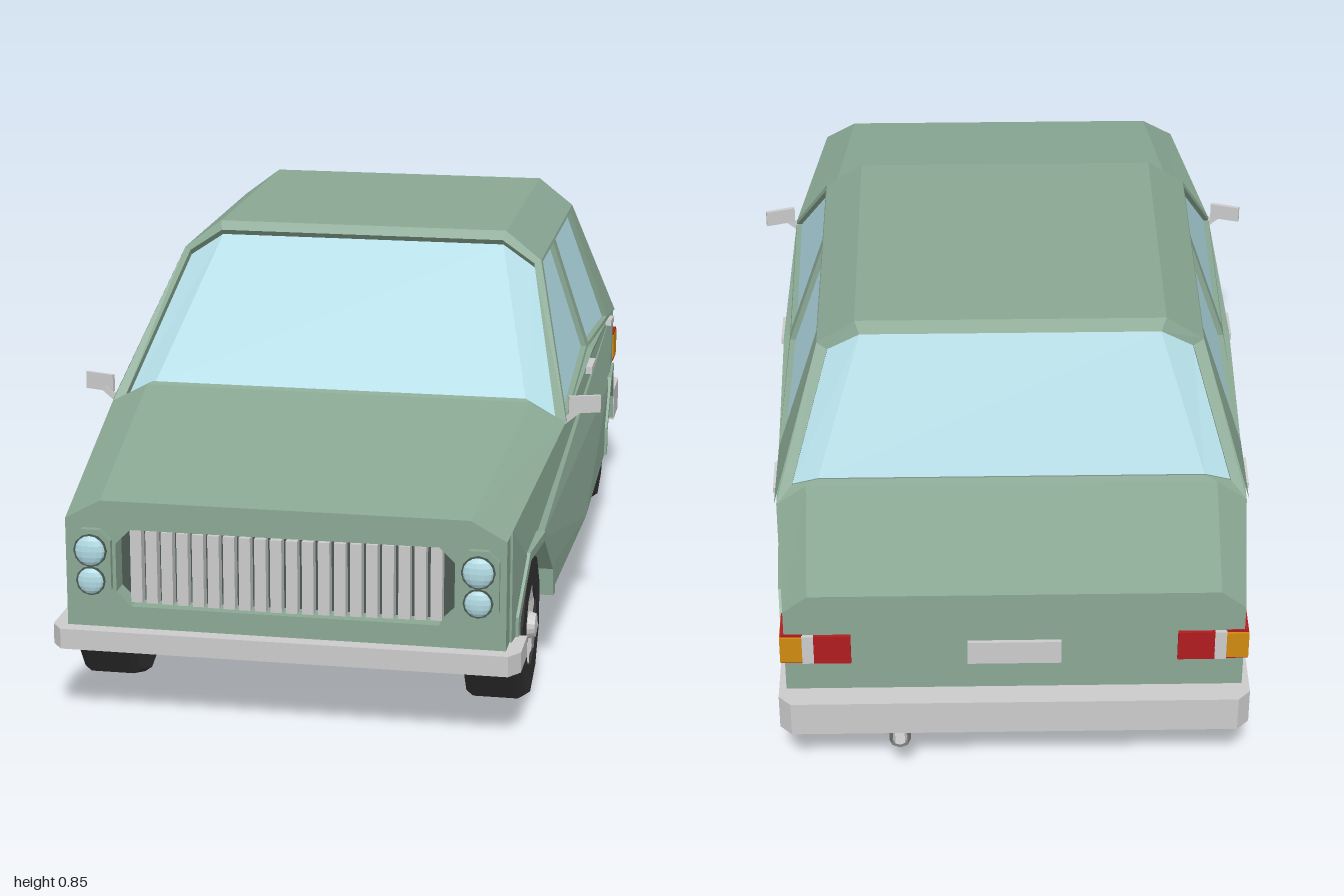
import * as THREE from 'three';

const mat = (color, side = THREE.FrontSide) =>
  new THREE.MeshStandardMaterial({ color, side, flatShading: true });
const paint = mat(0x8aa894, THREE.DoubleSide), glass = mat(0xb2dbe4, THREE.DoubleSide);
const grey = mat(0xcccccc), rubber = mat(0x333333), dark = mat(0x4a5850);
const red = mat(0xb01c20), amber = mat(0xd08a10), white = mat(0xe8e8e8);

export function createModel() {
  const car = new THREE.Group();
  car.name = 'car';

  const add = (name, geo, material, x = 0, y = 0, z = 0) => {
    const m = new THREE.Mesh(geo, material);
    m.name = name;
    m.position.set(x, y, z);
    car.add(m);
    return m;
  };
  const box = (name, m, w, h, d, x, y, z) => add(name, new THREE.BoxGeometry(w, h, d), m, x, y, z);
  const shapeOf = pts => new THREE.Shape(pts.map(p => new THREE.Vector2(p[0], p[1])));
  const extrude = (shape, depth) => new THREE.ExtrudeGeometry(shape, { depth, bevelEnabled: false });
  // rectangle with cut corners
  const chamfered = (w, h, c) => [[-w + c, -h], [w - c, -h], [w, -h + c], [w, h - c],
    [w - c, h], [-w + c, h], [-w, h - c], [-w, -h + c]];

  // surface through rows of points
  const loft = (name, rows, material, closed = false) => {
    const v = [];
    for (let i = 0; i < rows.length - 1; i++) {
      const a = rows[i], b = rows[i + 1], n = a.length;
      for (let j = 0; j < (closed ? n : n - 1); j++) {
        const k = (j + 1) % n;
        v.push(...a[j], ...a[k], ...b[k], ...a[j], ...b[k], ...b[j]);
      }
    }
    const g = new THREE.BufferGeometry();
    g.setAttribute('position', new THREE.Float32BufferAttribute(v, 3));
    g.computeVertexNormals();
    return add(name, g, material);
  };

  // frame around a sunken pane; the outline runs along the bottom, then back along the top
  const windowPanel = (name, outer, inner, sink) => {
    const pane = inner.map(p => p.map((c, i) => c + sink[i]));
    loft(name + 'Frame', [outer, inner, pane], paint, true);
    const n = pane.length / 2;
    loft(name + 'Glass', [pane.slice(0, n), pane.slice(n).reverse()], glass);
  };

  // half width of the body along z
  const widths = [[-0.95, 0.465], [-0.67, 0.488], [0, 0.498], [0.42, 0.492], [0.97, 0.442]];
  const halfWidth = z => {
    let i = 0;
    while (i < widths.length - 2 && z > widths[i + 1][0]) i++;
    const [z0, w0] = widths[i], [z1, w1] = widths[i + 1];
    return w0 + (w1 - w0) * (z - z0) / (z1 - z0);
  };

  // side outline [z, y] extruded across x between two limits
  const slab = (name, pts, xIn, xOut, flip = false) => {
    const g = extrude(shapeOf(pts.map(([z, y]) => [-z, y])), 1).rotateY(Math.PI / 2);
    const p = g.attributes.position;
    for (let i = 0; i < p.count; i++) {
      const z = p.getZ(i), a = xIn(z), b = xOut(z);
      p.setX(i, (flip ? -1 : 1) * (a + (b - a) * p.getX(i)));
    }
    if (flip) for (let i = 0; i < p.count; i += 3) {
      const a = new THREE.Vector3().fromBufferAttribute(p, i);
      const b = new THREE.Vector3().fromBufferAttribute(p, i + 1);
      p.setXYZ(i, b.x, b.y, b.z);
      p.setXYZ(i + 1, a.x, a.y, a.z);
    }
    g.computeVertexNormals();
    return add(name, g, paint);
  };

  // lower body, with wheel arches cut into the outer slabs
  const axles = [-0.68, 0.71];
  const arch = (zc, r) => [[zc - r * 0.95, 0.16],
    ...[157.5, 112.5, 67.5, 22.5].map(d => [zc + r * Math.cos(d * Math.PI / 180), 0.155 + r * Math.sin(d * Math.PI / 180)]),
    [zc + r * 0.95, 0.16]];
  const belt = [[0.92, 0.418], [0.42, 0.5], [-0.11, 0.53], [-0.67, 0.488], [-0.95, 0.43]];
  slab('floorAndCore', [[-0.95, 0.16], [0.92, 0.16], ...belt], () => -0.33, () => 0.33);
  for (const flip of [false, true]) {
    slab('bodySide', [[-0.95, 0.16], ...arch(axles[0], 0.172), [0, 0.16], ...arch(axles[1], 0.172),
      [0.92, 0.16], ...belt], () => 0.33, halfWidth, flip);
    for (const z of axles)
      slab('archLip', [...arch(z, 0.188), ...arch(z, 0.168).reverse()],
        s => halfWidth(s) - 0.03, s => halfWidth(s) + 0.006, flip);
  }

  // bonnet and boot lid
  const deck = (z, xs, ys, xt, yt) => [[-xs, ys, z], [-xt, yt, z], [xt, yt, z], [xs, ys, z]];
  loft('bonnet', [deck(0.97, 0.442, 0.41, 0.37, 0.45), deck(0.42, 0.492, 0.5, 0.415, 0.54)], paint);
  const tail = deck(-0.95, 0.465, 0.43, 0.415, 0.47);
  loft('bootLid', [deck(-0.67, 0.488, 0.488, 0.425, 0.535), tail,
    tail.map(([x, , z]) => [x, 0.42, z])], paint);

  // front panel with the grille opening
  const fascia = shapeOf([[-0.442, 0.16], [0.442, 0.16], [0.442, 0.41], [0.37, 0.45], [-0.37, 0.45], [-0.442, 0.41]]);
  fascia.holes.push(new THREE.Path(chamfered(0.34, 0.08, 0.03).map(([x, y]) => new THREE.Vector2(x, y + 0.312))));
  add('frontPanel', extrude(fascia, 0.05), paint, 0, 0, 0.92);
  box('grilleBack', dark, 0.7, 0.17, 0.01, 0, 0.312, 0.92);
  for (let i = 0; i < 20; i++) {
    const x = (i - 9.5) * 0.0318;
    box('grilleSlat', grey, 0.023, 0.15, 0.025, x, 0.312, 0.957 - Math.abs(x) * 0.04);
  }

  // cabin: roof, screens and side windows
  loft('roof', [deck(0.12, 0.4, 0.78, 0.32, 0.84), deck(-0.505, 0.4, 0.78, 0.32, 0.84)]
    .map((r, i) => r.map(([x, y, z]) => [x, y, y > 0.8 ? (i ? -0.515 : 0.105) : z])), paint);
  const screen = half => [...half.slice(0, 2), ...half.slice(0, 2).reverse().map(([x, y, z]) => [-x, y, z]),
    ...half.slice(2).map(([x, y, z]) => [-x, y, z]), ...half.slice(2).reverse()];
  windowPanel('windscreen',
    screen([[-0.492, 0.5, 0.42], [-0.415, 0.54, 0.42], [-0.4, 0.78, 0.12], [-0.32, 0.84, 0.105]]),
    screen([[-0.468, 0.508, 0.405], [-0.405, 0.545, 0.41], [-0.386, 0.775, 0.13], [-0.315, 0.822, 0.122]]),
    [0, -0.012, -0.012]);
  windowPanel('rearScreen',
    screen([[0.488, 0.488, -0.67], [0.425, 0.535, -0.67], [0.4, 0.78, -0.505], [0.32, 0.84, -0.515]]),
    screen([[0.455, 0.525, -0.652], [0.4, 0.548, -0.664], [0.378, 0.77, -0.515], [0.31, 0.815, -0.528]]),
    [0, -0.008, 0.014]);
  const onSide = ([z, y]) => [0.493 - Math.max(0, y - 0.5) * 0.332, y, z];
  const sideWindows = [
    ['frontSideWindow', [[0.42, 0.5], [-0.11, 0.53], [-0.11, 0.78], [0.12, 0.78]],
      [[0.395, 0.506], [-0.095, 0.536], [-0.095, 0.774], [0.105, 0.774]]],
    ['rearSideWindow', [[-0.11, 0.53], [-0.67, 0.488], [-0.505, 0.78], [-0.11, 0.78]],
      [[-0.135, 0.536], [-0.5, 0.51], [-0.452, 0.774], [-0.135, 0.774]]]];
  for (const [name, outer, inner] of sideWindows) {
    const o = outer.map(onSide), n = inner.map(onSide);
    const mirror = pts => pts.map(([x, y, z]) => [-x, y, z]).reverse();
    windowPanel(name, o, n, [-0.012, 0, 0]);
    windowPanel(name, mirror(o), mirror(n), [0.012, 0, 0]);
  }

  // bumpers
  const bumper = (name, pts, y, h) =>
    add(name, extrude(shapeOf(pts), h).rotateX(-Math.PI / 2), grey, 0, y, 0);
  bumper('frontBumper', [[-0.45, -1], [0.45, -1], [0.472, -0.97], [0.472, -0.875], [-0.472, -0.875], [-0.472, -0.97]], 0.145, 0.042);
  bumper('rearBumper', [[-0.48, 0.86], [0.48, 0.86], [0.48, 0.975], [0.455, 1], [-0.455, 1], [-0.48, 0.975]], 0.15, 0.08);
  box('rearPlate', grey, 0.19, 0.055, 0.012, 0, 0.325, -0.952);

  const tyreProfile = [[0.085, -0.06], [0.145, -0.06], [0.156, -0.045], [0.156, 0.045], [0.145, 0.06], [0.085, 0.06], [0.08, 0.03]];
  const hubProfile = [[0.086, 0.03], [0.084, 0.056], [0.07, 0.048], [0.06, 0.035], [0.045, 0.05], [0.028, 0.055], [0.024, 0.07], [0, 0.074]];
  const lathe = (pts, n) => new THREE.LatheGeometry(pts.map(p => new THREE.Vector2(...p)), n);

  for (const s of [-1, 1]) {
    // wheels, turned so the axle points outwards
    for (const z of axles) {
      const wheel = new THREE.Group();
      wheel.name = 'wheel';
      wheel.position.set(s * 0.4, 0.15, z);
      wheel.rotation.z = -s * Math.PI / 2;
      const part = (name, geo, m) => {
        const p = new THREE.Mesh(geo, m);
        p.name = name;
        wheel.add(p);
        return p;
      };
      part('tyre', lathe(tyreProfile, 10), rubber).rotation.y = Math.PI / 10;
      part('innerDisc', new THREE.CylinderGeometry(0.09, 0.09, 0.07, 10), rubber).position.y = -0.02;
      part('hub', lathe(hubProfile, 16), grey);
      for (let i = 0; i < 8; i++) {
        const a = i * Math.PI / 4;
        const slot = part('rimSlot', new THREE.BoxGeometry(0.016, 0.012, 0.018), rubber);
        slot.position.set(0.062 * Math.cos(a), 0.042, 0.062 * Math.sin(a));
        slot.rotation.y = -a;
      }
      car.add(wheel);
    }

    // twin headlamps in a chamfered housing
    const housing = shapeOf(chamfered(0.041, 0.073, 0.022));
    add('headlampHousing', extrude(housing, 0.018), paint, s * 0.388, 0.32, 0.965);
    for (const [y, r] of [[0.35, 0.031], [0.287, 0.027]]) {
      add('headlampRim', new THREE.CylinderGeometry(r + 0.003, r + 0.003, 0.01, 12).rotateX(Math.PI / 2), dark, s * 0.388, y, 0.982);
      add('headlamp', new THREE.SphereGeometry(r, 12, 8).scale(1, 1, 0.4), glass, s * 0.388, y, 0.986);
    }

    // tail lamps wrapping round the corner
    box('tailLampRed', red, 0.075, 0.07, 0.02, s * 0.368, 0.337, -0.947);
    box('tailLampWhite', white, 0.024, 0.07, 0.02, s * 0.417, 0.337, -0.947);
    box('tailLampAmber', amber, 0.045, 0.062, 0.077, s * 0.4515, 0.337, -0.9185);
    box('tailLampTrim', red, 0.045, 0.074, 0.07, s * 0.4505, 0.337, -0.917);

    // door mirrors and handles
    const mirror = box('doorMirror', grey, 0.068, 0.037, 0.008, s * 0.528, 0.533, 0.387);
    mirror.rotation.y = s * 0.3;
    const stem = box('mirrorStem', grey, 0.045, 0.012, 0.01, s * 0.5, 0.508, 0.397);
    stem.rotation.z = s * 0.7;
    box('frontDoorHandle', grey, 0.014, 0.016, 0.085, s * 0.497, 0.502, -0.05);
    box('rearDoorHandle', grey, 0.014, 0.014, 0.08, s * 0.491, 0.482, -0.57).rotation.x = -0.1;
  }

  // exhaust
  const path = new THREE.CatmullRomCurve3([[0.28, 0.165, -0.4], [0.275, 0.137, -0.46], [0.26, 0.132, -0.6],
    [0.24, 0.132, -0.85], [0.235, 0.132, -1]].map(p => new THREE.Vector3(...p)));
  add('exhaustPipe', new THREE.TubeGeometry(path, 12, 0.014, 8), mat(0xcccccc, THREE.DoubleSide));
  add('silencer', new THREE.CylinderGeometry(0.03, 0.03, 0.12, 8).rotateX(Math.PI / 2).scale(1.3, 0.7, 1), grey, 0.265, 0.137, -0.52);
  add('exhaustTip', new THREE.CylinderGeometry(0.022, 0.022, 0.05, 8, 1, true).rotateX(Math.PI / 2), mat(0x777777, THREE.DoubleSide), 0.235, 0.132, -0.974);

  return car;
}
